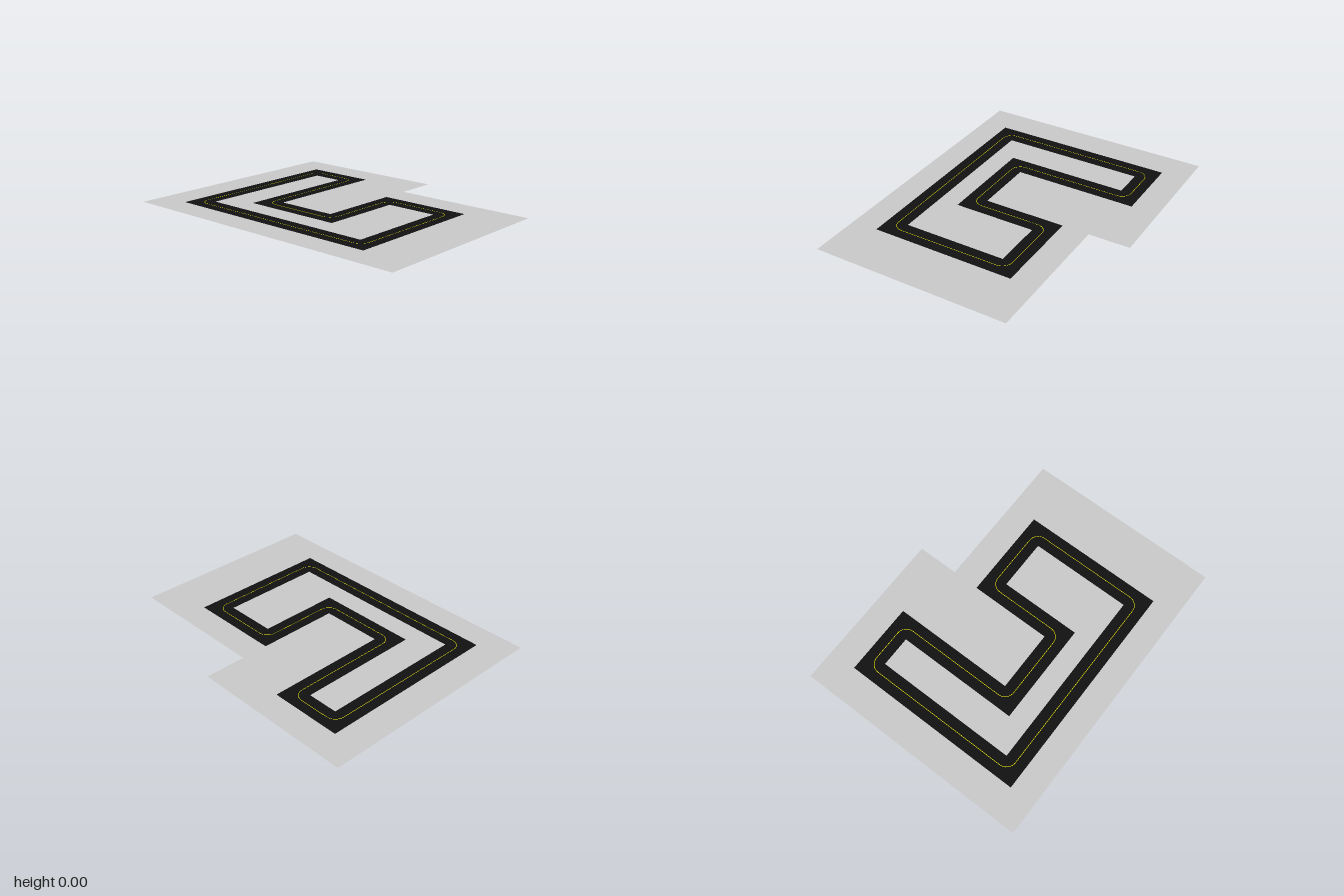
import * as THREE from 'three';

const ROAD_HALF = 0.0667; // half the road's width
const LINE_HALF = 0.0015; // half the painted line's width
const BEND = 0.0667;      // bend radius of the painted line

const toPoints = (list) => list.map(([x, z]) => new THREE.Vector2(x, -z));

// Plot outline and road centre line, as x, z corners
const plot = toPoints([
  [-1, -0.773], [0.067, -0.773], [0.067, -0.505], [1, -0.505], [1, 0.773], [-1, 0.773],
]);
const centreLine = toPoints([
  [-0.733, -0.53], [-0.4, -0.53], [-0.4, 0.27], [0.133, 0.27],
  [0.133, -0.263], [0.6, -0.263], [0.6, 0.537], [-0.733, 0.537],
]);

// Closed loop running parallel to the centre line, d outwards, optionally with round bends
function parallelLoop(d, bend = 0) {
  const n = centreLine.length;
  return centreLine.flatMap((p, i) => {
    const a = p.clone().sub(centreLine[(i + n - 1) % n]).normalize();
    const b = centreLine[(i + 1) % n].clone().sub(p).normalize();
    const corner = new THREE.Vector2(p.x - d * (a.y + b.y), p.y + d * (a.x + b.x));
    if (!bend) return [corner];
    const r = a.cross(b) < 0 ? bend + d : bend - d;
    const steps = 8;
    return Array.from({ length: steps + 1 }, (_, k) => {
      const t = (k / steps) * Math.PI / 2;
      return corner.clone()
        .addScaledVector(a, r * (Math.sin(t) - 1))
        .addScaledVector(b, r * (1 - Math.cos(t)));
    });
  });
}

// Flat sheet lying on the floor, with an optional hole
function sheet(name, material, outline, hole) {
  const shape = new THREE.Shape(outline);
  if (hole) shape.holes.push(new THREE.Path(hole));
  const mesh = new THREE.Mesh(new THREE.ShapeGeometry(shape).rotateX(-Math.PI / 2), material);
  mesh.name = name;
  return mesh;
}

export function createModel() {
  const paint = (color) => new THREE.MeshStandardMaterial({ color, side: THREE.DoubleSide });
  const grey = paint(0xcccccc), asphalt = paint(0x111111), yellow = paint(0xffff00);

  const roadOuter = parallelLoop(ROAD_HALF);
  const roadInner = parallelLoop(-ROAD_HALF);
  const lineOuter = parallelLoop(LINE_HALF, BEND);
  const lineInner = parallelLoop(-LINE_HALF, BEND);

  // The sheets fit edge to edge in one plane
  const model = new THREE.Group();
  model.name = 'roadCircuit';
  model.add(
    sheet('outerGround', grey, plot, roadOuter),
    sheet('outerLane', asphalt, roadOuter, lineOuter),
    sheet('centreMarking', yellow, lineOuter, lineInner),
    sheet('innerLane', asphalt, lineInner, roadInner),
    sheet('innerGround', grey, roadInner),
  );
  return model;
}
